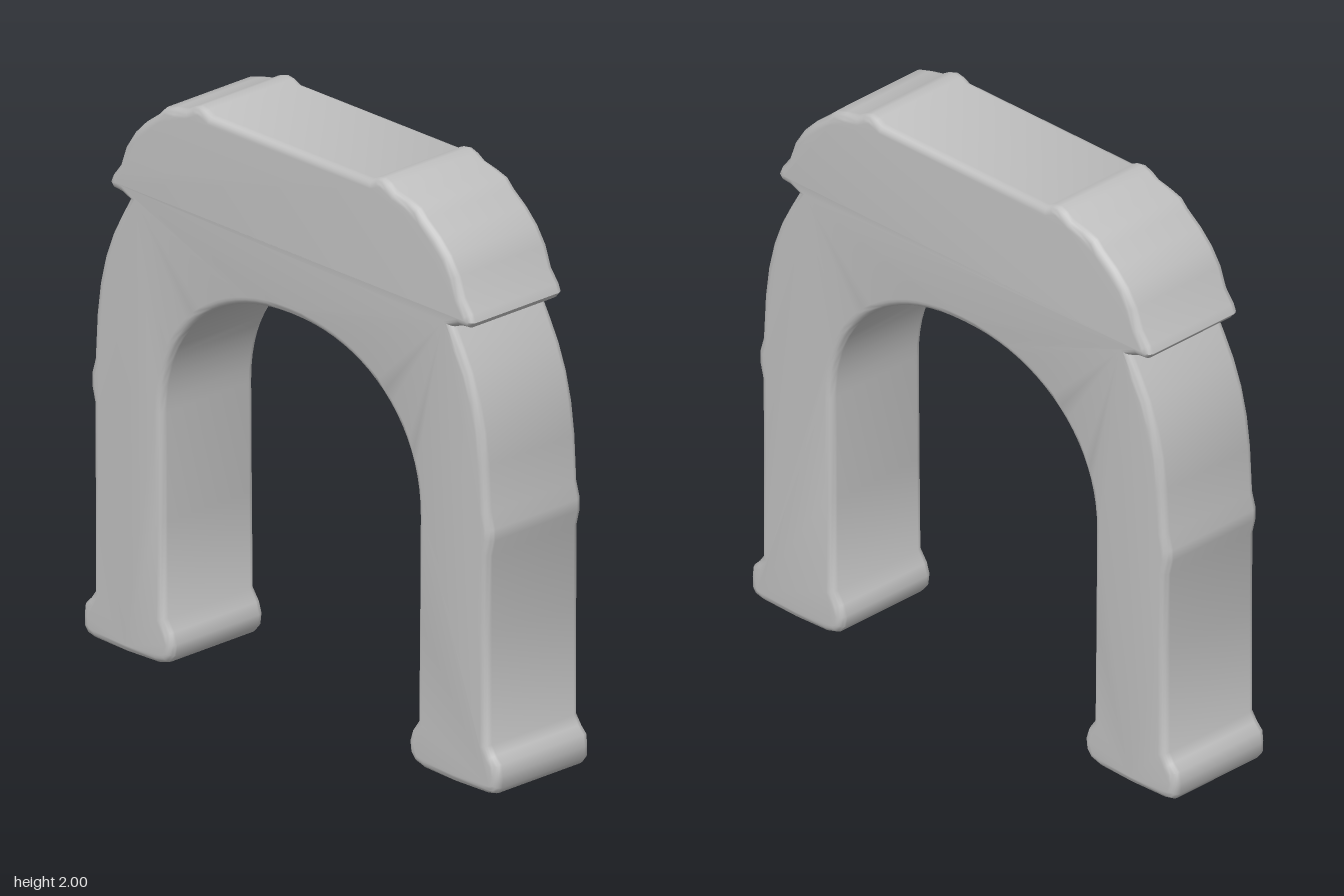
import * as THREE from 'three';
import { toCreasedNormals } from 'three/addons/utils/BufferGeometryUtils.js';

const DEPTH = 0.42;
const BEVEL = 0.028;

// Outer edge of the left half, from the crown down to the foot
const outer = [
  [0.37, 1.982], [0.395, 1.995], [0.425, 2.0], [0.455, 1.99], [0.485, 1.972], [0.54, 1.96], [0.59, 1.945],
  [0.62, 1.915], [0.68, 1.87], [0.73, 1.82], [0.77, 1.76], [0.795, 1.69], [0.83, 1.645],
  [0.842, 1.617], [0.825, 1.597], [0.785, 1.593], [0.752, 1.58],
  [0.79, 1.515], [0.83, 1.44], [0.865, 1.35], [0.89, 1.25], [0.905, 1.14], [0.914, 0.98],
  [0.93, 0.925], [0.93, 0.885], [0.916, 0.83], [0.914, 0.55], [0.914, 0.17],
];

// Rounded foot, from its outer shoulder under and up to the inner side of the leg
const foot = [
  [0.935, 0.14], [0.96, 0.115], [0.965, 0.075], [0.963, 0.035], [0.945, 0.012], [0.91, 0.004],
  [0.76, 0], [0.62, 0.005], [0.575, 0.018], [0.552, 0.045], [0.547, 0.085], [0.56, 0.125], [0.588, 0.165],
  [0.592, 0.5],
];

// Opening: a slightly squared half ellipse
function archCurve(steps) {
  const pts = [];
  const power = 2 / 2.15;
  for (let i = 0; i <= steps; i++) {
    const a = (i / steps) * Math.PI / 2;
    pts.push([0.595 * Math.cos(a) ** power, 0.88 + 0.52 * Math.sin(a) ** power]);
  }
  pts[steps] = [0, 1.4];
  return pts;
}

export function createModel() {
  const group = new THREE.Group();
  group.name = 'archway';
  const stone = new THREE.MeshStandardMaterial({ color: 0xc0c0c0 });
  stone.name = 'pale grey stone';

  // Mirror the half profile into a closed outline
  const half = [...outer, ...foot, ...archCurve(20)];
  const mirrored = half.slice(0, -1).reverse().map(([x, y]) => [-x, y]);
  const outline = [...half, ...mirrored].map(([x, y]) => new THREE.Vector2(x, y));

  // Arch body with softly rounded front and back edges
  const geometry = new THREE.ExtrudeGeometry(new THREE.Shape(outline), {
    depth: DEPTH - 2 * BEVEL,
    bevelEnabled: true,
    bevelThickness: BEVEL,
    bevelSize: BEVEL,
    bevelOffset: -BEVEL,
    bevelSegments: 5,
  });
  geometry.translate(0, 0, BEVEL - DEPTH / 2);

  const arch = new THREE.Mesh(toCreasedNormals(geometry, 0.7), stone);
  arch.name = 'archBody';
  group.add(arch);
  return group;
}
